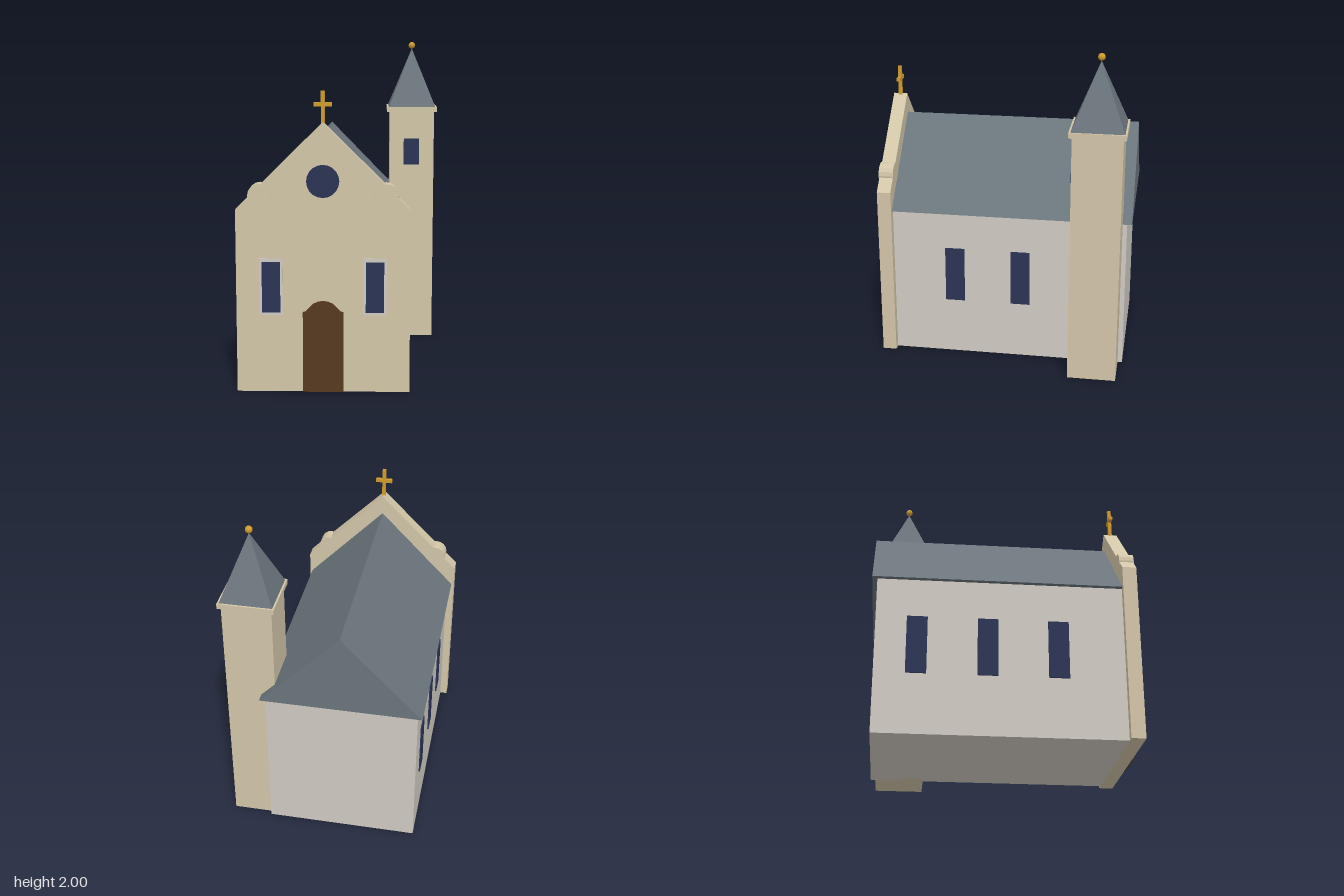
import * as THREE from 'three';

const mat = (name, color) => {
  const m = new THREE.MeshStandardMaterial({ color });
  m.name = name;
  return m;
};

export function createModel() {
  const sandstone = mat('sandstone', 0xd2c6a8);
  const plaster = mat('plaster', 0xd0cbc3);
  const slate = mat('slate', 0x6b757c);
  const glass = mat('dark blue glass', 0x2b3454);
  const wood = mat('door wood', 0x573920);
  const gold = mat('gold', 0xcf9c2c);

  const model = new THREE.Group();
  model.name = 'chapel';
  const CX = -0.11; // centre line of the nave

  const add = (name, geometry, material, x, y, z, parent = model) => {
    const mesh = new THREE.Mesh(geometry, material);
    mesh.name = name;
    mesh.position.set(x, y, z);
    parent.add(mesh);
    return mesh;
  };
  const box = (name, w, h, d, material, x, y, z, parent) =>
    add(name, new THREE.BoxGeometry(w, h, d), material, x, y, z, parent);
  // Extrudes an outline symmetric about x = 0, given as its right half from bottom to top
  const mirrored = (name, half, depth, material, z) => {
    const left = half.filter(([x]) => x > 0).reverse().map(([x, y]) => [-x, y]);
    const shape = new THREE.Shape([...half, ...left].map(([x, y]) => new THREE.Vector2(x, y)));
    return add(name, new THREE.ExtrudeGeometry(shape, { depth, bevelEnabled: false }), material, CX, 0, z);
  };
  const disc = (name, r, depth, sides, material, x, y, z) => {
    const g = new THREE.CylinderGeometry(r, r, depth, sides).rotateX(Math.PI / 2).toNonIndexed();
    g.computeVertexNormals();
    return add(name, g, material, x, y, z);
  };

  // Nave and its solid gabled roof
  box('naveWalls', 0.91, 0.945, 1.45, plaster, CX, 0.4725, -0.035);
  mirrored('naveRoof', [[0.485, 0.945], [0, 1.445]], 1.48, slate, -0.79);

  // Side windows
  for (const side of [-1, 1]) {
    for (const z of [0.3, -0.11, -0.52]) {
      box('sideWindow', 0.016, 0.35, 0.12, glass, CX + side * 0.455, 0.535, z);
    }
  }

  // Front gable wall with scrolls on its shoulders
  mirrored('facade', [[0.5, 0], [0.5, 1.07], [0, 1.567]], 0.085, sandstone, 0.687);
  for (const side of [-1, 1]) {
    disc('gableScroll', 0.068, 0.09, 16, sandstone, CX + side * 0.362, 1.152, 0.731);
    box('frontWindowFrame', 0.135, 0.33, 0.014, plaster, CX + side * 0.298, 0.625, 0.775);
    box('frontWindow', 0.105, 0.295, 0.014, glass, CX + side * 0.298, 0.623, 0.783);
  }
  disc('roseWindow', 0.094, 0.012, 20, glass, CX, 1.235, 0.776);
  mirrored('door', [[0.117, 0], [0.117, 0.475], [0.1, 0.48], [0.06, 0.523], [0.03, 0.537], [0, 0.541]],
    0.01, wood, 0.771);

  // Cross on the gable
  const cross = new THREE.Group();
  cross.name = 'cross';
  model.add(cross);
  box('crossUpright', 0.022, 0.185, 0.022, gold, CX, 1.6525, 0.729, cross);
  box('crossArm', 0.105, 0.022, 0.022, gold, CX, 1.667, 0.729, cross);

  // Bell tower
  const tower = new THREE.Group();
  tower.name = 'bellTower';
  tower.position.set(0.437, 0, -0.585);
  model.add(tower);
  box('towerShaft', 0.295, 1.54, 0.295, sandstone, 0, 0.77, 0, tower);
  box('towerCornice', 0.332, 0.032, 0.332, sandstone, 0, 1.556, 0, tower);
  const spire = new THREE.ConeGeometry(0.155 * Math.SQRT2, 0.385, 4).rotateY(Math.PI / 4).toNonIndexed();
  spire.computeVertexNormals();
  add('spire', spire, slate, 0, 1.7645, 0, tower);
  add('spireBall', new THREE.SphereGeometry(0.022, 12, 8), gold, 0, 1.978, 0, tower);
  box('towerWindow', 0.103, 0.175, 0.016, glass, -0.002, 1.273, 0.15, tower);

  return model;
}
